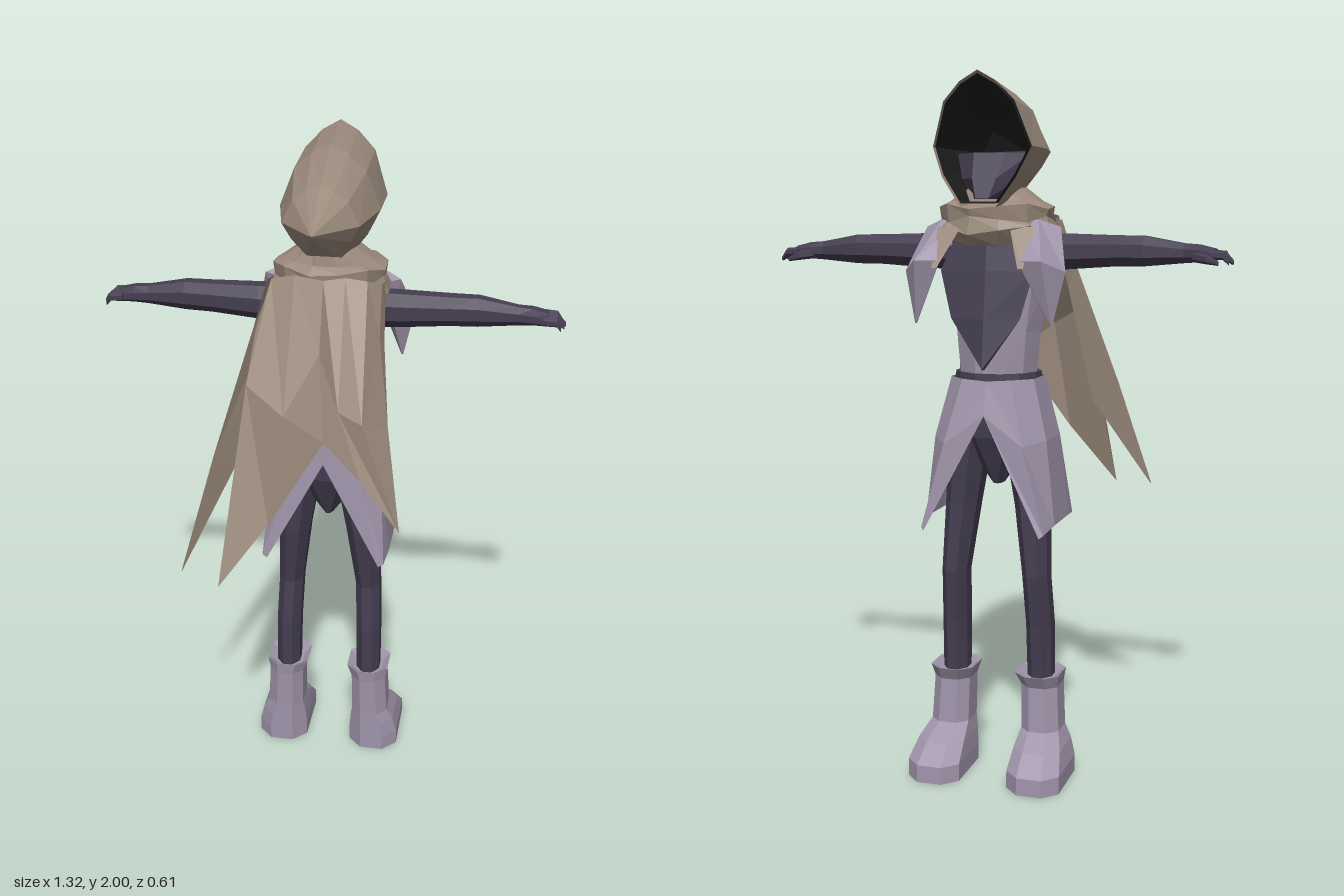
import * as THREE from 'three';

const mat = (name, color, open) => {
  const m = new THREE.MeshStandardMaterial({ color, flatShading: true });
  m.name = name;
  if (open) m.side = THREE.DoubleSide;
  return m;
};

// Skin rows of [x, y, z] points; closed rows wrap round, caps fill the end rows.
function loft(rows, { closed = true, cap = true } = {}) {
  const n = rows[0].length, pos = rows.flat(2), idx = [];
  const at = (r, c) => r * n + (c % n);
  for (let r = 0; r < rows.length - 1; r++)
    for (let c = 0; c < (closed ? n : n - 1); c++) {
      idx.push(at(r, c), at(r + 1, c), at(r + 1, c + 1));
      idx.push(at(r, c), at(r + 1, c + 1), at(r, c + 1));
    }
  if (closed && cap) {
    const last = rows.length - 1;
    for (let c = 1; c < n - 1; c++) {
      idx.push(at(0, 0), at(0, c), at(0, c + 1));
      idx.push(at(last, 0), at(last, c + 1), at(last, c));
    }
  }
  // Turn the faces outward if the enclosed volume is negative
  const v = (i) => new THREE.Vector3().fromArray(pos, i * 3);
  const mid = new THREE.Vector3();
  for (let i = 0; i < pos.length / 3; i++) mid.addScaledVector(v(i), 3 / pos.length);
  let volume = 0;
  for (let i = 0; i < idx.length; i += 3) {
    const [a, b, c] = [0, 1, 2].map((k) => v(idx[i + k]).sub(mid));
    volume += a.dot(b.cross(c));
  }
  if (volume < 0) idx.reverse();
  const g = new THREE.BufferGeometry();
  g.setAttribute('position', new THREE.Float32BufferAttribute(pos, 3));
  g.setIndex(idx);
  g.computeVertexNormals();
  return g;
}

const angles = (n) => Array.from({ length: n }, (_, i) => ((i + 0.5) / n) * Math.PI * 2);
// Level ring and ring across the x axis
const ringY = (x, y, z, rx, rz, n = 8) =>
  angles(n).map((a) => [x + rx * 1.06 * Math.sin(a), y, z + rz * 1.06 * Math.cos(a)]);
const ringX = (x, y, z, ry, rz, n = 8) =>
  angles(n).map((a) => [x, y + ry * 1.06 * Math.sin(a), z + rz * 1.06 * Math.cos(a)]);
const turn = (cols) => cols[0].map((_, r) => cols.map((c) => c[r]));

export function createModel() {
  const root = new THREE.Group();
  const brown = mat('brownCloth', 0x9b8a7c, true);
  const lilac = mat('lilacCloth', 0xa094aa, true);
  const dark = mat('darkPurple', 0x443d50, true);
  const black = mat('hoodShadow', 0x1e1e20, true);
  const add = (name, geometry, material) => {
    const m = new THREE.Mesh(geometry, material);
    m.name = name;
    root.add(m);
  };

  // Hood: an open diamond section drawn back to a point
  const half = [[0, 1], [0.36, 0.84], [0.71, 0.56], [1, -0.1], [0.75, -0.55], [0.36, -1]];
  const section = [...half, ...half.slice(1).reverse().map(([x, t]) => [-x, t])];
  const hood = (k) => [
    [-0.282, 0.14, 2.0, 1.643], [-0.1, 0.14, 1.975, 1.66],
    [0.06, 0.105, 1.905, 1.715], [0.2, 0.001, 1.811, 1.809],
  ].map(([z, w, top, low], i) => section.map(([x, t]) => [
    x * w * k,
    (top + low) / 2 + (t * k * (top - low)) / 2,
    (i === 0 ? z + 0.042 * Math.max(0, 1 - 1.4 * Math.abs(t)) : z - (i === 3 ? 1 - k : 0)),
  ]));
  add('hood', loft(hood(1), { cap: false }), brown);
  add('hoodLining', loft(hood(0.95), { cap: false }), black);
  // Mask filling the lower part of the hood
  add('mask', loft([
    ringY(0, 1.665, -0.15, 0.045, 0.1), ringY(0, 1.72, -0.13, 0.085, 0.1), ringY(0, 1.79, -0.1, 0.11, 0.085),
  ]), dark);

  // Scarf wound round the neck, rising into the hood
  add('scarf', loft([
    [1.715, 0.055, 0.09, 0], [1.66, 0.125, 0.097, 0], [1.645, 0.155, 0.12, 0.008], [1.61, 0.15, 0.115, -0.01],
    [1.58, 0.165, 0.125, 0.014], [1.54, 0.12, 0.1, 0],
  ].map(([y, rx, rz, wave]) => ringY(0, y, -0.115, rx, rz, 12)
    .map(([x, h, z], i) => [x, h + wave * Math.sin(i * 2.1), z])), { cap: false }), brown);

  // Cape columns run from the neck over the shoulder to the ragged hem
  add('cape', loft(turn([
    [[-0.16, 1.61, -0.08], [-0.19, 1.48, 0.02], [-0.205, 1.3, 0.1]],
    [[-0.15, 1.62, -0.01], [-0.195, 1.36, 0.14], [-0.255, 0.8, 0.305]],
    [[-0.08, 1.64, 0.01], [-0.08, 1.3, 0.2], [-0.12, 0.98, 0.24]],
    [[0, 1.63, 0.015], [0, 1.44, 0.08], [0.025, 1.21, 0.16]],
    [[0.06, 1.64, 0.01], [0.07, 1.32, 0.19], [0.14, 1.14, 0.24]],
    [[0.12, 1.63, 0], [0.14, 1.3, 0.22], [0.255, 1.01, 0.275]],
    [[0.155, 1.61, -0.04], [0.16, 1.48, 0.03], [0.2, 1.26, 0.13]],
    [[0.16, 1.6, -0.1], [0.165, 1.53, -0.04], [0.17, 1.45, 0]],
  ]), { closed: false }), brown);
  // Long separate tail of the cape hanging off the right shoulder
  add('capeTail', loft(turn([
    [[-0.155, 1.6, -0.1], [-0.187, 1.42, -0.04], [-0.24, 1.09, 0.045], [-0.374, 0.81, 0.25]],
    [[-0.165, 1.61, -0.03], [-0.2, 1.48, 0], [-0.297, 1.13, 0.135], [-0.376, 0.81, 0.252]],
  ]), { closed: false }), brown);

  // Fitted vest with a loose dark bib hanging down its front
  add('vest', loft([
    [1.16, 0.105, 0.105], [1.3, 0.118, 0.11], [1.48, 0.145, 0.108], [1.56, 0.14, 0.095], [1.61, 0.09, 0.07],
  ].map(([y, rx, rz]) => ringY(0, y, -0.1, rx, rz, 10))), lilac);
  add('bib', loft([
    [0.09, 1.58, -0.19], [0.135, 1.47, -0.205], [0.1, 1.34, -0.222], [0.004, 1.2, -0.242],
  ].map(([x, y, z]) => [[-x, y, z], [0, y, z - 0.015], [x, y, z]]), { closed: false }), dark);
  add('belt', loft([ringY(0, 1.14, -0.1, 0.122, 0.116, 12), ringY(0, 1.185, -0.1, 0.115, 0.112, 12)]), dark);
  add('pelvis', loft([ringY(0, 1.15, -0.1, 0.105, 0.1), ringY(0, 1.0, -0.1, 0.11, 0.09),
    ringY(0, 0.86, -0.1, 0.015, 0.03)]), dark);

  for (const s of [1, -1]) {
    const side = s > 0 ? 'left' : 'right';
    const flip = (rows) => rows.map((row) => row.map(([x, y, z]) => [x * s, y, z]));
    const part = (name, rows, material, options) => add(side + name, loft(flip(rows), options), material);

    // Skirt panel, parted at front and back
    part('SkirtPanel', turn([
      [[0, 1.165, -0.218], [0, 1.07, -0.24], [0.17, 0.74, -0.272]],
      [[0.07, 1.17, -0.215], [0.115, 0.99, -0.25], [0.18, 0.748, -0.262]],
      [[0.122, 1.17, -0.16], [0.165, 1.0, -0.18], [0.192, 0.762, -0.19]],
      [[0.122, 1.17, -0.045], [0.165, 1.0, -0.04], [0.192, 0.762, -0.04]],
      [[0.07, 1.17, 0.012], [0.115, 0.99, 0.024], [0.185, 0.755, 0.03]],
      [[0, 1.165, 0.018], [0, 1.07, 0.022], [0.17, 0.748, 0.036]],
    ]), lilac, { closed: false });

    // Pointed flap folded over the front of the shoulder, with a scrap of scarf beneath
    part('ShoulderFlap', [
      [[0.09, 1.6, -0.19], [0.14, 1.61, -0.18], [0.195, 1.59, -0.15], [0.15, 1.58, -0.14]],
      [[0.11, 1.5, -0.28], [0.18, 1.5, -0.295], [0.23, 1.47, -0.23], [0.17, 1.45, -0.185]],
      [[0.192, 1.325, -0.245], [0.195, 1.325, -0.247], [0.198, 1.325, -0.245], [0.195, 1.325, -0.243]],
    ], lilac);
    part('ScarfScrap', [
      [[0.07, 1.59, -0.22], [0.14, 1.59, -0.21]], [[0.115, 1.48, -0.295], [0.13, 1.48, -0.295]],
    ], brown, { closed: false });

    // Leg
    part('Leg', [
      [1.04, 0.08, -0.1, 0.065, 0.08], [0.8, 0.105, -0.105, 0.048, 0.066], [0.6, 0.122, -0.125, 0.038, 0.054],
      [0.45, 0.128, -0.105, 0.038, 0.054], [0.28, 0.13, -0.1, 0.037, 0.048],
    ].map(([y, x, z, rx, rz]) => ringY(x, y, z, rx, rz)), dark);

    // Boot with flared cuff and long toe
    part('Boot', [
      [0, 0.072, 0.228, -0.04, -0.302], [0.05, 0.072, 0.228, -0.04, -0.3], [0.1, 0.076, 0.215, -0.04, -0.24],
      [0.14, 0.082, 0.195, -0.04, -0.175], [0.27, 0.08, 0.188, -0.035, -0.165],
      [0.308, 0.065, 0.195, -0.03, -0.187], [0.295, 0.085, 0.175, -0.05, -0.16],
    ].map(([y, x0, x1, b, f]) => {
      const c = (x1 - x0) * 0.27;
      return [[x0 + c, y, b], [x1 - c, y, b], [x1, y, b - c], [x1, y, f + c],
        [x1 - c, y, f], [x0 + c, y, f], [x0, y, f + c], [x0, y, b - c]];
    }), lilac);

    // Arm and palm
    part('Arm', [
      [0.1, 1.52, -0.1, 0.052, 0.052], [0.2, 1.522, -0.1, 0.05, 0.052], [0.34, 1.525, -0.105, 0.043, 0.046],
      [0.42, 1.525, -0.108, 0.042, 0.042], [0.53, 1.52, -0.107, 0.027, 0.029],
      [0.57, 1.52, -0.108, 0.024, 0.036], [0.615, 1.515, -0.108, 0.018, 0.039],
    ].map(([x, y, z, ry, rz]) => ringX(x, y, z, ry, rz)), dark);

    // Fingers curl down a little; the thumb sits forward
    for (let i = 0; i < 4; i++) {
      const z = -0.141 + i * 0.023, end = 0.665 - Math.abs(i - 1.3) * 0.009;
      part('Finger' + (i + 1), [
        ringX(0.6, 1.517, z, 0.012, 0.011, 6), ringX(0.638, 1.515, z, 0.011, 0.01, 6),
        ringX(end, 1.497, z, 0.007, 0.007, 6),
      ], dark);
    }
    part('Thumb', [
      ringX(0.555, 1.512, -0.13, 0.014, 0.014, 6), ringX(0.595, 1.505, -0.15, 0.012, 0.011, 6),
      ringX(0.627, 1.495, -0.153, 0.006, 0.006, 6),
    ], dark);
  }
  return root;
}
